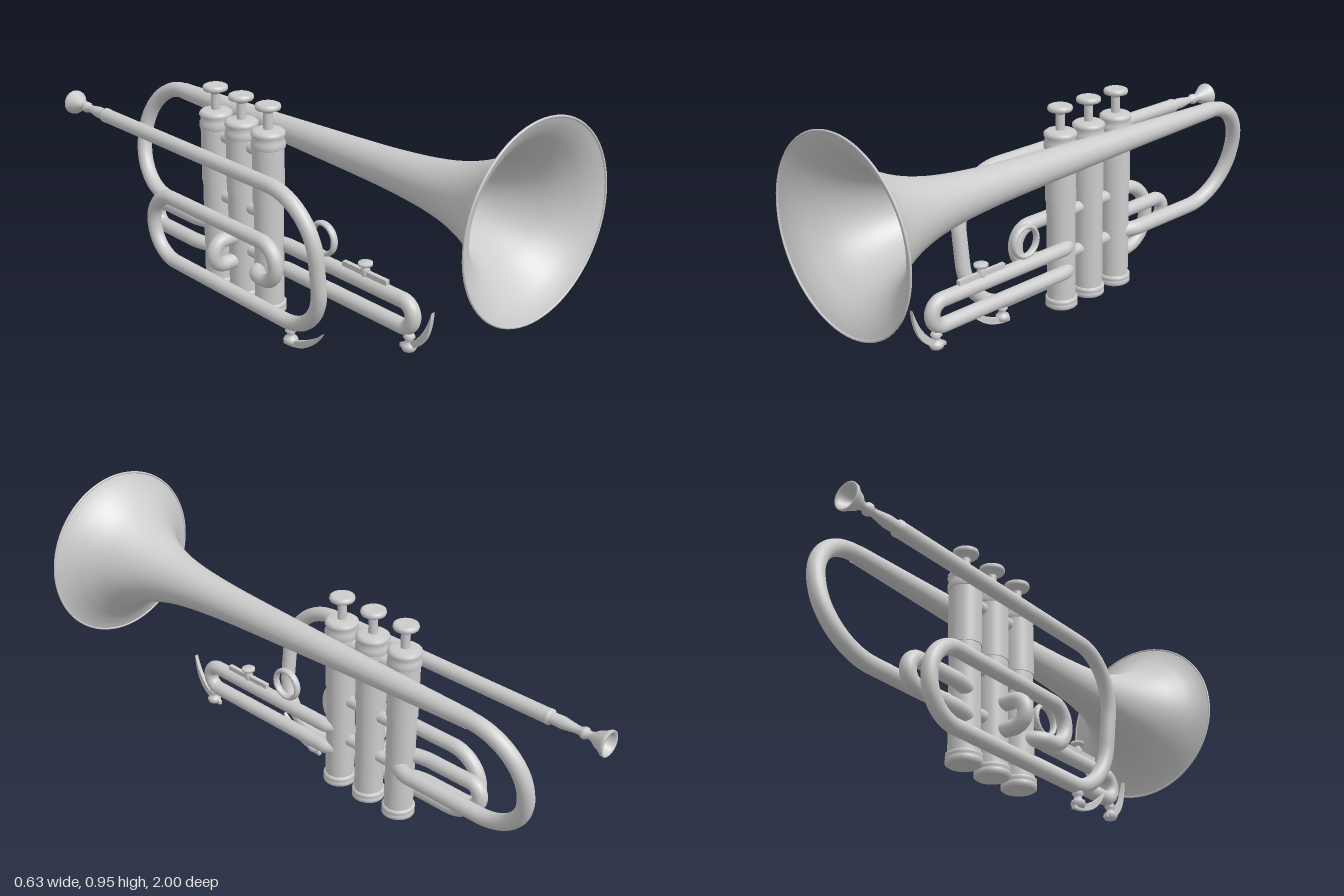
import * as THREE from 'three';

const mat = new THREE.MeshStandardMaterial({ color: 0xcccccc, side: THREE.DoubleSide });
const V = (x, y, z) => new THREE.Vector3(x, y, z);

function add(parent, name, geometry, x = 0, y = 0, z = 0) {
  const mesh = new THREE.Mesh(geometry, mat);
  mesh.name = name;
  mesh.position.set(x, y, z);
  parent.add(mesh);
  return mesh;
}

// Lathe with crisp steps: profile is a list of [radius, height]
function turned(profile, segments = 40) {
  return new THREE.LatheGeometry(profile.map(([r, h]) => new THREE.Vector2(r, h)), segments);
}

// Straight runs joined by round corners; each point is [x, y, z, cornerRadius]
function pipe(points, radius, segments = 160) {
  const path = new THREE.CurvePath();
  const p = points.map(([x, y, z]) => V(x, y, z));
  let from = p[0];
  const straight = (to) => {
    if (from.distanceTo(to) > 1e-3) path.add(new THREE.LineCurve3(from, to));
  };
  for (let i = 1; i < p.length - 1; i++) {
    const r = points[i][3];
    const toward = (q, d) => p[i].clone().add(q.clone().sub(p[i]).setLength(d));
    const a = toward(p[i - 1], r), b = toward(p[i + 1], r);
    straight(a);
    path.add(new THREE.CubicBezierCurve3(a, toward(p[i - 1], r * 0.448), toward(p[i + 1], r * 0.448), b));
    from = b;
  }
  straight(p[p.length - 1]);
  return new THREE.TubeGeometry(path, segments, radius, 18);
}

// Crescent lever in the z-y plane with its pivot knob
function waterKey(parent, x, tip, outer, inner, end, knob) {
  const g = new THREE.Group();
  g.name = 'waterKey';
  const s = new THREE.Shape();
  s.moveTo(...tip);
  s.quadraticCurveTo(...outer, ...end);
  s.lineTo(end[0], end[1] + 0.012);
  s.quadraticCurveTo(...inner, ...tip);
  const geo = new THREE.ExtrudeGeometry(s, { depth: 0.014, bevelEnabled: false, curveSegments: 16 });
  geo.rotateY(-Math.PI / 2);
  add(g, 'waterKeyLever', geo, x + 0.007);
  const [z, y] = knob;
  add(g, 'waterKeyKnob', turned([[0, -0.018], [0.02, -0.016], [0.026, -0.004], [0.022, 0.006],
    [0.013, 0.012], [0.013, 0.022], [0.02, 0.03], [0.014, 0.042], [0, 0.044]], 20), x, y, z);
  parent.add(g);
}

export function createModel() {
  const model = new THREE.Group();
  model.name = 'horn';

  // Flared bell, tapering towards the back
  const flare = [[0.03, -0.67], [0.037, -0.4], [0.044, -0.15], [0.051, 0.05], [0.058, 0.25], [0.066, 0.42],
    [0.08, 0.58], [0.101, 0.7], [0.134, 0.8], [0.182, 0.89], [0.235, 0.95], [0.275, 0.98], [0.308, 0.996]];
  const curve = new THREE.SplineCurve(flare.map(([r, z]) => new THREE.Vector2(r, z)));
  const bell = new THREE.LatheGeometry(curve.getPoints(70), 72);
  bell.rotateX(Math.PI / 2);
  add(model, 'bell', bell, 0, 0.64, 0);
  add(model, 'bellRim', new THREE.TorusGeometry(0.309, 0.004, 8, 72), 0, 0.64, 0.996);

  // Back bow from the bell to the rear valve
  add(model, 'bellBow', pipe([[0, 0.64, -0.66], [0, 0.64, -0.87, 0.2], [-0.088, 0.237, -0.87, 0.2],
    [-0.088, 0.237, -0.36, 0.02], [-0.115, 0.237, -0.3]], 0.028));

  // Lead pipe, front bow, and main tuning loop into the front valve
  add(model, 'leadPipe', pipe([[-0.272, 0.575, -0.78], [-0.272, 0.575, 0.348, 0.2], [-0.218, 0.086, 0.348, 0.19],
    [-0.22, 0.086, -0.573, 0.124], [-0.225, 0.335, -0.573, 0.124], [-0.225, 0.335, 0.118, 0.069],
    [-0.22, 0.195, 0.118, 0.069], [-0.215, 0.195, -0.02, 0.05], [-0.14, 0.195, -0.02]], 0.026, 360));

  // Mouthpiece with hollow cup, pointing back
  const mouth = turned([[0.024, 0.77], [0.027, 0.775], [0.027, 0.785], [0.02, 0.79], [0.021, 0.83], [0.014, 0.88],
    [0.014, 0.895], [0.02, 0.905], [0.02, 0.915], [0.013, 0.925], [0.016, 0.94], [0.027, 0.955], [0.035, 0.975],
    [0.044, 0.988], [0.045, 0.997], [0.041, 1], [0.034, 0.993], [0.026, 0.972], [0.012, 0.955], [0, 0.94]], 36);
  mouth.rotateX(-Math.PI / 2);
  add(model, 'mouthpiece', mouth, -0.272, 0.575, 0);

  // Three piston valves
  const vx = -0.134, valveZ = [-0.02, -0.16, -0.3];
  for (const z of valveZ) {
    const valve = new THREE.Group();
    valve.name = 'valve';
    valve.position.set(vx, 0, z);
    add(valve, 'lowerCasing', new THREE.CylinderGeometry(0.051, 0.051, 0.37, 40), 0, 0.245, 0);
    add(valve, 'upperCasing', new THREE.CylinderGeometry(0.054, 0.054, 0.2, 40), 0, 0.53, 0);
    add(valve, 'topCap', turned([[0.054, 0.625], [0.058, 0.628], [0.058, 0.645], [0.054, 0.65], [0.054, 0.665],
      [0.058, 0.67], [0.057, 0.68], [0.048, 0.687], [0.018, 0.689], [0, 0.689]]));
    add(valve, 'bottomCap', turned([[0, 0.022], [0.014, 0.023], [0.018, 0.03], [0.05, 0.028], [0.058, 0.034],
      [0.058, 0.046], [0.054, 0.05], [0.058, 0.054], [0.058, 0.064], [0.051, 0.068]]));
    add(valve, 'stem', new THREE.CylinderGeometry(0.016, 0.016, 0.08, 20), 0, 0.72, 0);
    add(valve, 'button', turned([[0.016, 0.745], [0.024, 0.754], [0.041, 0.757], [0.044, 0.764],
      [0.042, 0.773], [0.034, 0.777], [0, 0.774]]));
    model.add(valve);
  }

  // Short links between neighbouring valves
  for (const z of [-0.09, -0.23]) for (const y of [0.22, 0.38, 0.6]) {
    const link = new THREE.CylinderGeometry(0.022, 0.022, 0.1, 18);
    link.rotateX(Math.PI / 2);
    add(model, 'valveLink', link, vx, y, z);
  }

  // Valve slides: rear loop, side loop and front loop
  const hi = 0.27, lo = 0.18, r = 0.0449;
  add(model, 'rearSlide', pipe([[-0.15, hi, -0.3], [-0.175, hi, -0.37, 0.03], [-0.175, hi, -0.613, r],
    [-0.175, lo, -0.613, r], [-0.175, lo, -0.37, 0.03], [-0.15, lo, -0.3]], 0.026));
  add(model, 'sideSlide', pipe([[vx, hi, -0.16], [-0.264, hi, -0.16, r], [-0.264, lo, -0.16, r],
    [vx, lo, -0.16]], 0.026, 80));
  add(model, 'frontSlide', pipe([[-0.12, hi, -0.03], [-0.086, hi, 0.0, 0.02], [-0.086, hi, 0.613, r],
    [-0.086, lo, 0.613, r], [-0.086, lo, 0.0, 0.02], [-0.12, lo, -0.03]], 0.026));

  // Finger ring, and guide rod with its stop screw
  const ring = new THREE.TorusGeometry(0.053, 0.009, 12, 40);
  ring.rotateY(Math.PI / 2);
  ring.scale(1.5, 1, 1);
  add(model, 'fingerRing', ring, -0.086, 0.356, 0.2);
  add(model, 'guideRod', new THREE.BoxGeometry(0.016, 0.018, 0.2), -0.086, 0.303, 0.4);
  add(model, 'stopScrew', turned([[0.012, 0.29], [0.016, 0.315], [0.01, 0.32], [0.01, 0.328],
    [0.024, 0.33], [0.024, 0.34], [0, 0.342]], 20), -0.086, 0, 0.4);

  // Water keys on the front slide and the front bow
  waterKey(model, -0.086, [0.695, 0.275], [0.69, 0.12], [0.66, 0.15], [0.565, 0.11], [0.6, 0.125]);
  waterKey(model, -0.219, [0.348, 0.108], [0.29, 0.005], [0.28, 0.045], [0.16, 0.003], [0.19, 0.03]);

  return model;
}
